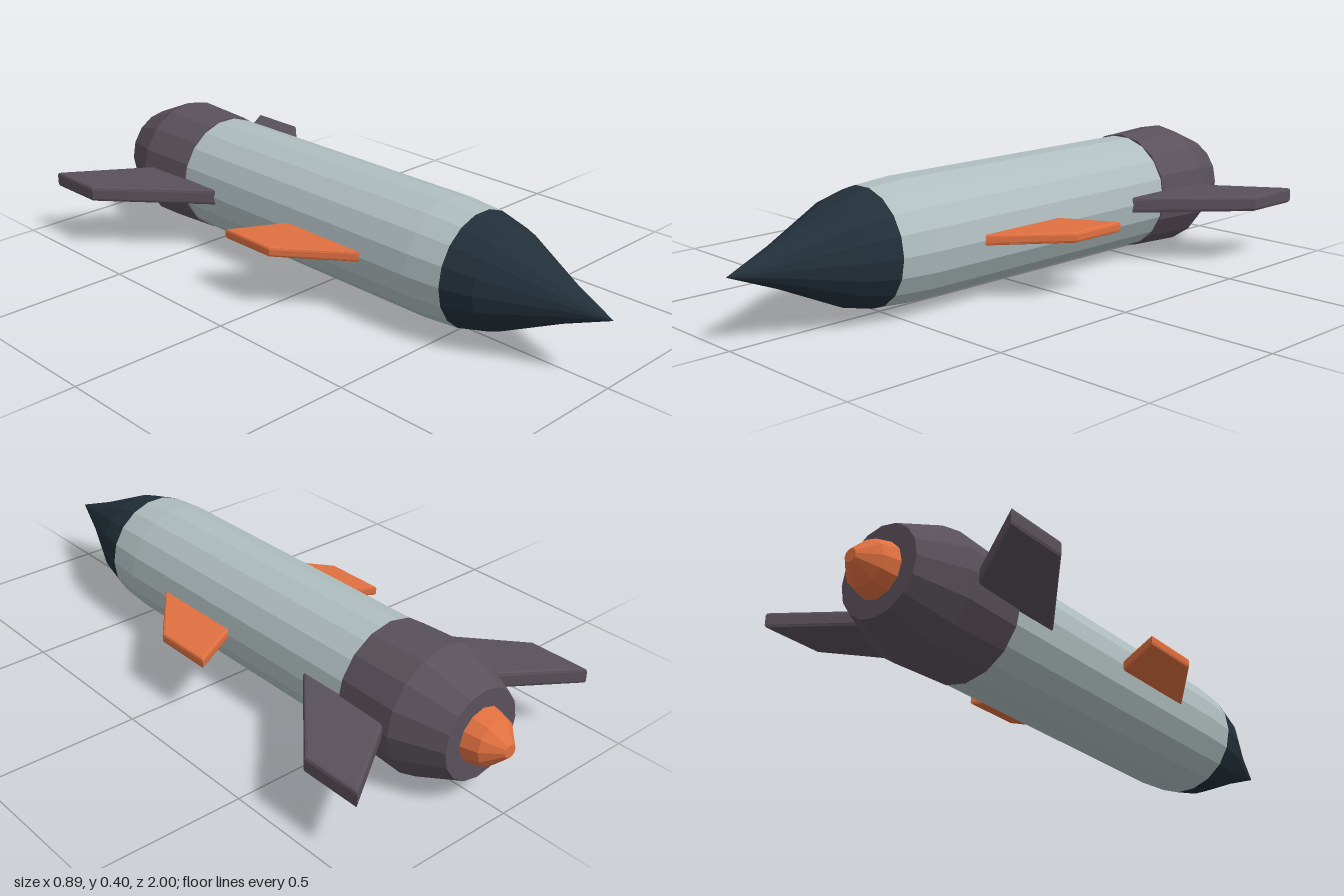
import * as THREE from 'three';

const AXIS_Y = 0.2; // height of the body's long axis

const mat = (color) => new THREE.MeshStandardMaterial({ color, flatShading: true });

// Faceted body section: [radius, z] pairs from back to front, turned about the z axis
function section(name, profile, sides, material) {
  const points = profile.map(([r, z]) => new THREE.Vector2(r, z));
  const geometry = new THREE.LatheGeometry(points, sides, Math.PI / 2);
  geometry.rotateX(Math.PI / 2);
  const mesh = new THREE.Mesh(geometry, material);
  mesh.name = name;
  mesh.position.y = AXIS_Y;
  return mesh;
}

// Flat fin with chamfered edges: [x, z] outline, on side +1 or -1
function fin(name, outline, thickness, bevel, side, material) {
  const shape = new THREE.Shape(outline.map(([x, z]) => new THREE.Vector2(x * side, z)));
  const depth = thickness - 2 * bevel;
  const geometry = new THREE.ExtrudeGeometry(shape, {
    depth,
    bevelEnabled: true,
    bevelThickness: bevel,
    bevelSize: bevel,
    bevelOffset: -bevel,
    bevelSegments: 2,
  });
  geometry.translate(0, 0, -depth / 2);
  geometry.rotateX(Math.PI / 2);
  const mesh = new THREE.Mesh(geometry, material);
  mesh.name = name;
  mesh.position.y = AXIS_Y;
  return mesh;
}

export function createModel() {
  const group = new THREE.Group();
  group.name = 'rocket';
  const hullMat = mat(0xb0bec0);
  const noseMat = mat(0x22303a);
  const tailMat = mat(0x5a515a);
  const orangeMat = mat(0xe07040);

  // Body sections, front to back
  group.add(
    section('noseCone', [[0.177, 0.55], [0.153, 0.65], [0.06, 0.85], [0, 1]], 18, noseMat),
    section('hull', [[0.186, -0.56], [0.186, 0.43], [0.177, 0.55]], 18, hullMat),
    section('engineHousing',
      [[0, -0.9], [0.137, -0.9], [0.2, -0.75], [0.191, -0.55], [0.17, -0.55]], 16, tailMat),
    section('exhaust', [[0, -1], [0.02, -1], [0.07, -0.95], [0.087, -0.89]], 12, orangeMat),
  );

  // Swept fins, mirrored
  const tailOutline = [[0.14, -0.35], [0.447, -0.7], [0.447, -0.897], [0.14, -0.69]];
  const midOutline = [[0.14, 0.31], [0.347, 0.045], [0.347, -0.15], [0.14, -0.04]];
  for (const [label, side] of [['left', 1], ['right', -1]]) {
    group.add(
      fin(`${label}TailFin`, tailOutline, 0.05, 0.01, side, tailMat),
      fin(`${label}MidFin`, midOutline, 0.032, 0.008, side, orangeMat),
    );
  }
  return group;
}
